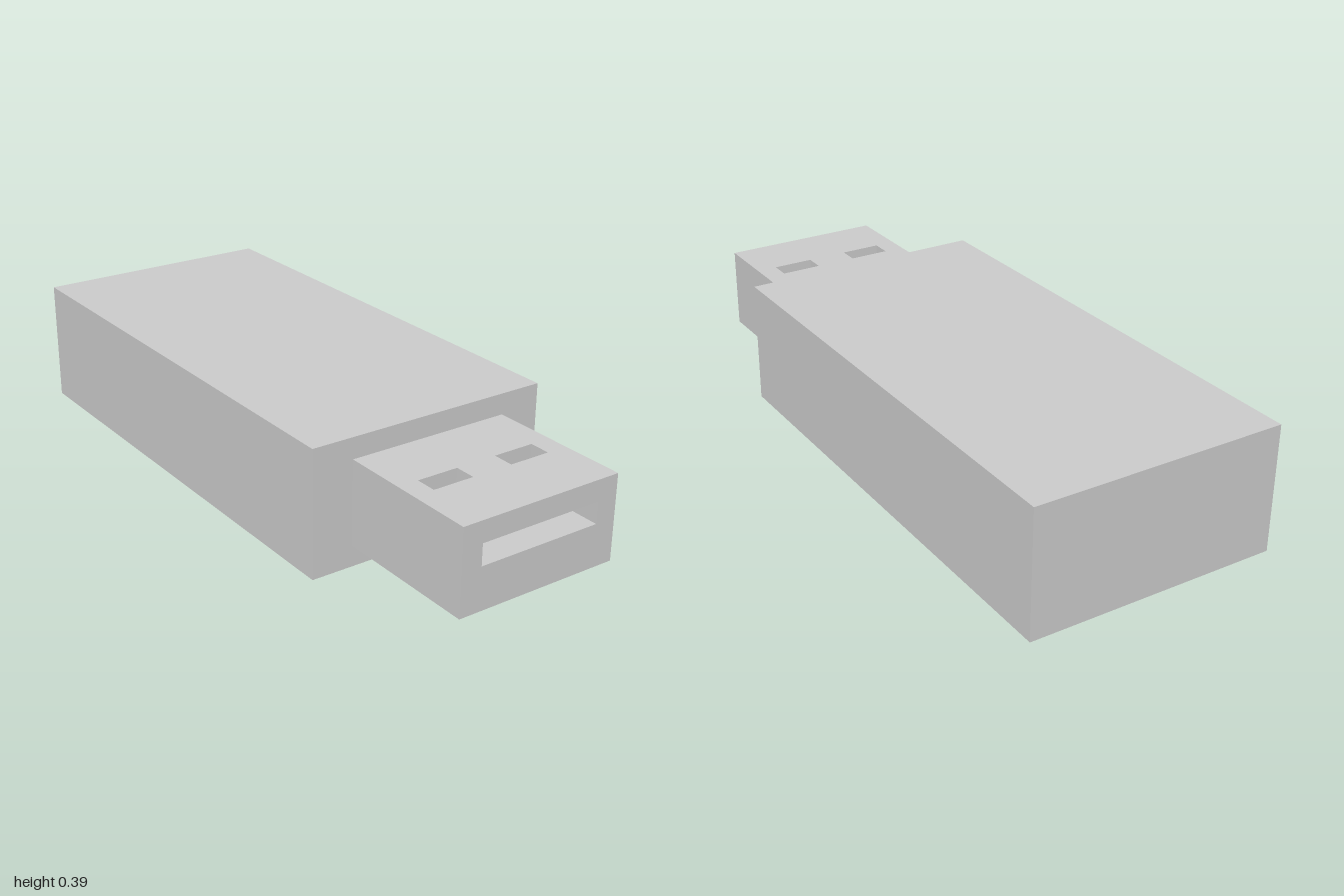
import * as THREE from 'three';
import { mergeGeometries } from 'three/addons/utils/BufferGeometryUtils.js';

const U = 2 / 31; // grid unit: the whole stick is 31 units long
const Q = Math.PI / 2;

// Rotations that turn a +z facing panel towards each direction
const FACING = {
  front: [0, 0], back: [0, Math.PI],
  up: [-Q, 0], down: [Q, 0],
  left: [0, Q], right: [0, -Q],
};

function rectangle(Type, x, y, w, h) {
  return new Type([
    [x - w / 2, y - h / 2], [x + w / 2, y - h / 2],
    [x + w / 2, y + h / 2], [x - w / 2, y + h / 2],
  ].map(([a, b]) => new THREE.Vector2(a, b)));
}

// Flat w x h panel centred at pos; holes are [x, y, w, h] in panel space
function panel(facing, pos, w, h, holes = []) {
  const shape = rectangle(THREE.Shape, 0, 0, w, h);
  holes.forEach((hole) => shape.holes.push(rectangle(THREE.Path, ...hole)));
  const [rx, ry] = FACING[facing];
  return new THREE.ShapeGeometry(shape).rotateX(rx).rotateY(ry).translate(...pos);
}

export function createModel() {
  const model = new THREE.Group();
  model.name = 'usbStick';
  const material = new THREE.MeshStandardMaterial({ color: 0xcccccc });

  function add(name, geometry) {
    const mesh = new THREE.Mesh(geometry.scale(U, U, U), material);
    mesh.name = name;
    model.add(mesh);
  }

  // Main casing
  add('casing', new THREE.BoxGeometry(12, 6, 24).translate(0, 3, -3.5));

  // Outer skin of the plug, with the contact slot and two latch windows
  add('plugShell', mergeGeometries([
    panel('front', [0, 3, 15.5], 8, 4, [[0, 0.5, 6, 1]]),
    panel('up', [0, 5, 12], 8, 7, [[-2, 0, 2, 1], [2, 0, 2, 1]]),
    panel('down', [0, 1, 12], 8, 7),
    panel('left', [4, 3, 12], 7, 4),
    panel('right', [-4, 3, 12], 7, 4),
  ]));

  // Inside of the contact slot
  add('contactSlot', mergeGeometries([
    panel('up', [0, 3, 12.5], 6, 6),
    panel('down', [0, 4, 12.5], 6, 6, [[-2, -0.5, 2, 1], [2, -0.5, 2, 1]]),
    panel('left', [-3, 3.5, 12.5], 6, 1),
    panel('right', [3, 3.5, 12.5], 6, 1),
    panel('front', [0, 3.5, 9.5], 6, 1),
  ]));

  // Walls of the latch windows, from the top face down into the slot
  for (const [name, x] of [['leftLatchWindow', 2], ['rightLatchWindow', -2]]) {
    add(name, mergeGeometries([
      panel('left', [x - 1, 4.5, 12], 1, 1),
      panel('right', [x + 1, 4.5, 12], 1, 1),
      panel('front', [x, 4.5, 11.5], 2, 1),
      panel('back', [x, 4.5, 12.5], 2, 1),
    ]));
  }

  return model;
}
